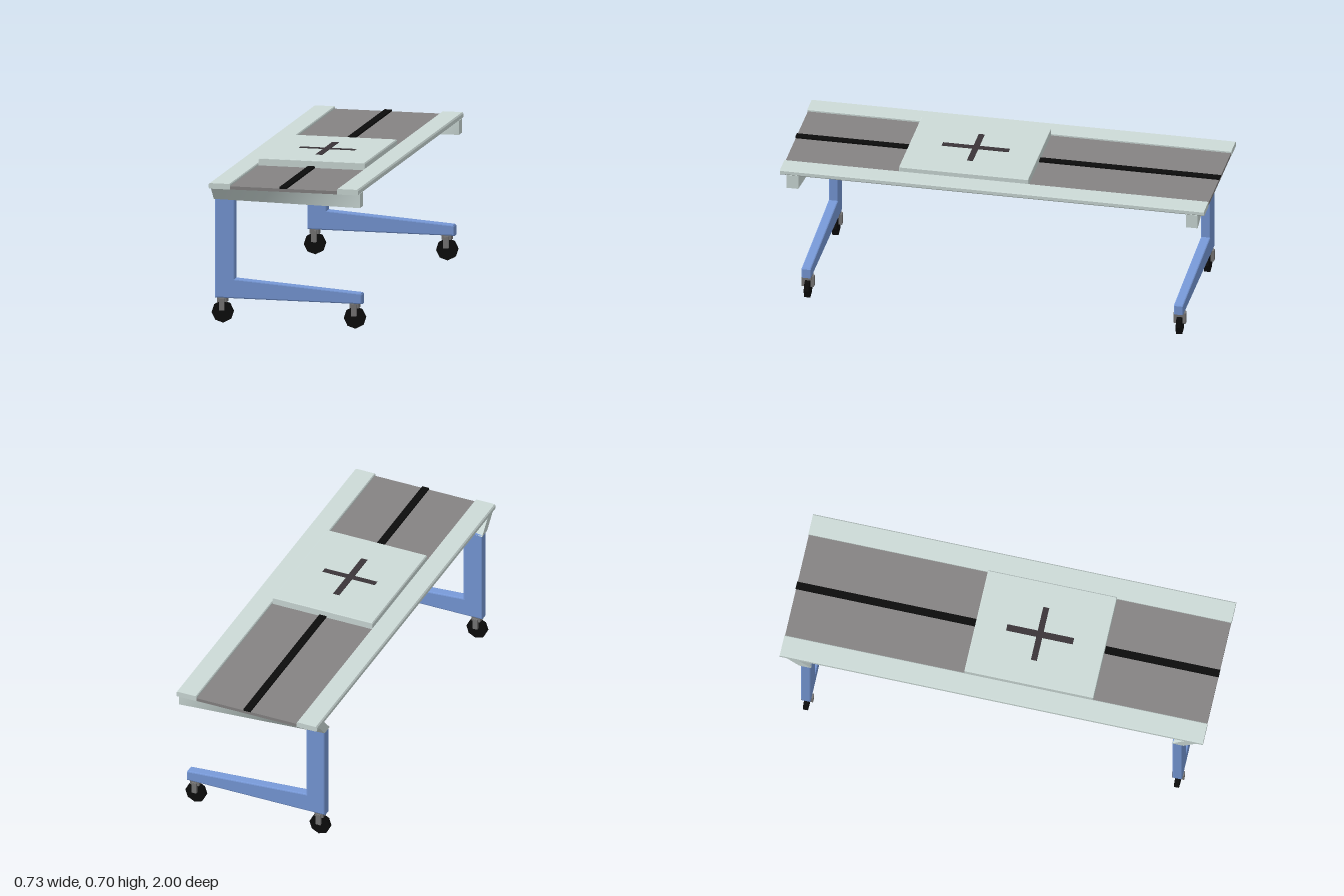
import * as THREE from 'three';

const material = (name, color) => {
  const m = new THREE.MeshStandardMaterial({ color });
  m.name = name;
  return m;
};

export function createModel() {
  const pale = material('pale grey', 0xcddbd8);
  const grey = material('panel grey', 0x858383);
  const blue = material('leg blue', 0x7799d8);
  const black = material('black', 0x0c0c0c);
  const charcoal = material('charcoal', 0x3a3438);
  const steel = material('caster grey', 0x777676);

  const model = new THREE.Group();
  model.name = 'wheeledTable';

  const add = (name, geometry, mat, x = 0, y = 0, z = 0, parent = model) => {
    const mesh = new THREE.Mesh(geometry, mat);
    mesh.name = name;
    mesh.position.set(x, y, z);
    parent.add(mesh);
    return mesh;
  };
  // Box given by its extents on each axis
  const box = (name, mat, [x0, x1], [y0, y1], [z0, z1], parent) =>
    add(name, new THREE.BoxGeometry(x1 - x0, y1 - y0, z1 - z0), mat,
      (x0 + x1) / 2, (y0 + y1) / 2, (z0 + z1) / 2, parent);
  // Outline extruded along z and centred on z = 0, with chamfered edges
  const slab = (points, depth, bevel) => {
    const shape = new THREE.Shape(points.map(([x, y]) => new THREE.Vector2(x, y)));
    const g = new THREE.ExtrudeGeometry(shape, {
      depth: depth - 2 * bevel, bevelEnabled: bevel > 0, bevelThickness: bevel,
      bevelSize: bevel, bevelOffset: -bevel, bevelSegments: 2,
    });
    return g.translate(0, 0, -depth / 2 + bevel);
  };

  // Table top: side rails with softened outer edges, and the sunken panel
  for (const [name, inner, outer] of [['rightRail', -0.25, -0.352], ['leftRail', 0.258, 0.36]]) {
    const d = Math.sign(outer);
    const profile = [
      [inner, 0.648], [outer - d * 0.004, 0.648], [outer, 0.653],
      [outer, 0.668], [outer - d * 0.006, 0.674], [inner + d * 0.004, 0.674], [inner, 0.67],
    ];
    add(name, slab(profile, 2, 0), pale);
  }
  box('topPanel', grey, [-0.25, 0.258], [0.648, 0.663], [-0.998, 0.998]);
  box('centreStripe', black, [-0.015, 0.02], [0.6625, 0.671], [-1, 1]);

  // Sliding pad with a cross inlaid on its top
  const pad = slab([[-0.25, 0.66], [0.258, 0.66], [0.258, 0.692], [0.253, 0.697],
    [-0.245, 0.697], [-0.25, 0.692]], 0.61, 0.003);
  add('slidingPad', pad, pale, 0, 0, 0.155);
  box('crossBarWide', charcoal, [-0.13, 0.135], [0.695, 0.699], [0.138, 0.166]);
  box('crossBarLong', charcoal, [-0.015, 0.016], [0.695, 0.6992], [-0.005, 0.31]);

  // L-shaped leg outline
  const legOutline = [
    [-0.348, 0.118], [0.353, 0.118], [0.353, 0.162], [0.347, 0.169],
    [-0.253, 0.21], [-0.253, 0.59], [-0.348, 0.59],
  ];

  for (const side of [1, -1]) {
    const end = side > 0 ? 'front' : 'back';

    // End beam: upright at one end, twisting into a slant over the leg
    const beam = new THREE.BoxGeometry(0.71, 0.067, 0.056, 12, 1, 1);
    const p = beam.attributes.position;
    for (let i = 0; i < p.count; i++) {
      const twist = 0.5 - p.getX(i) / 0.71;
      if (p.getY(i) < 0) p.setZ(i, p.getZ(i) - side * twist * 0.062);
    }
    beam.computeVertexNormals();
    add(end + 'Beam', beam, pale, 0.005, 0.6165, side * 0.942);

    add(end + 'Leg', slab(legOutline, 0.046, 0.006), blue, 0, 0, side * 0.878);

    // Casters under both ends of the foot
    for (const x of [-0.315, 0.314]) {
      const caster = new THREE.Group();
      caster.name = end + (x < 0 ? 'Right' : 'Left') + 'Caster';
      caster.position.set(x, 0, side * 0.877);
      model.add(caster);

      const wheel = new THREE.CylinderGeometry(0.051, 0.051, 0.022, 8)
        .toNonIndexed().rotateX(Math.PI / 2);
      wheel.computeVertexNormals();
      add('wheel', wheel, black, 0, 0.051, 0, caster).rotation.z = 0.08;

      box('stem', steel, [-0.022, 0.022], [0.098, 0.12], [-0.02, 0.02], caster);
      box('forkCrown', steel, [-0.012, 0.012], [0.104, 0.114], [-0.028, 0.028], caster);
      for (const s of [1, -1]) {
        const z = [s * 0.021 - 0.008, s * 0.021 + 0.008];
        box('forkArm', steel, [-0.012, 0.012], [0.06, 0.112], z, caster);
      }
    }
  }
  return model;
}
